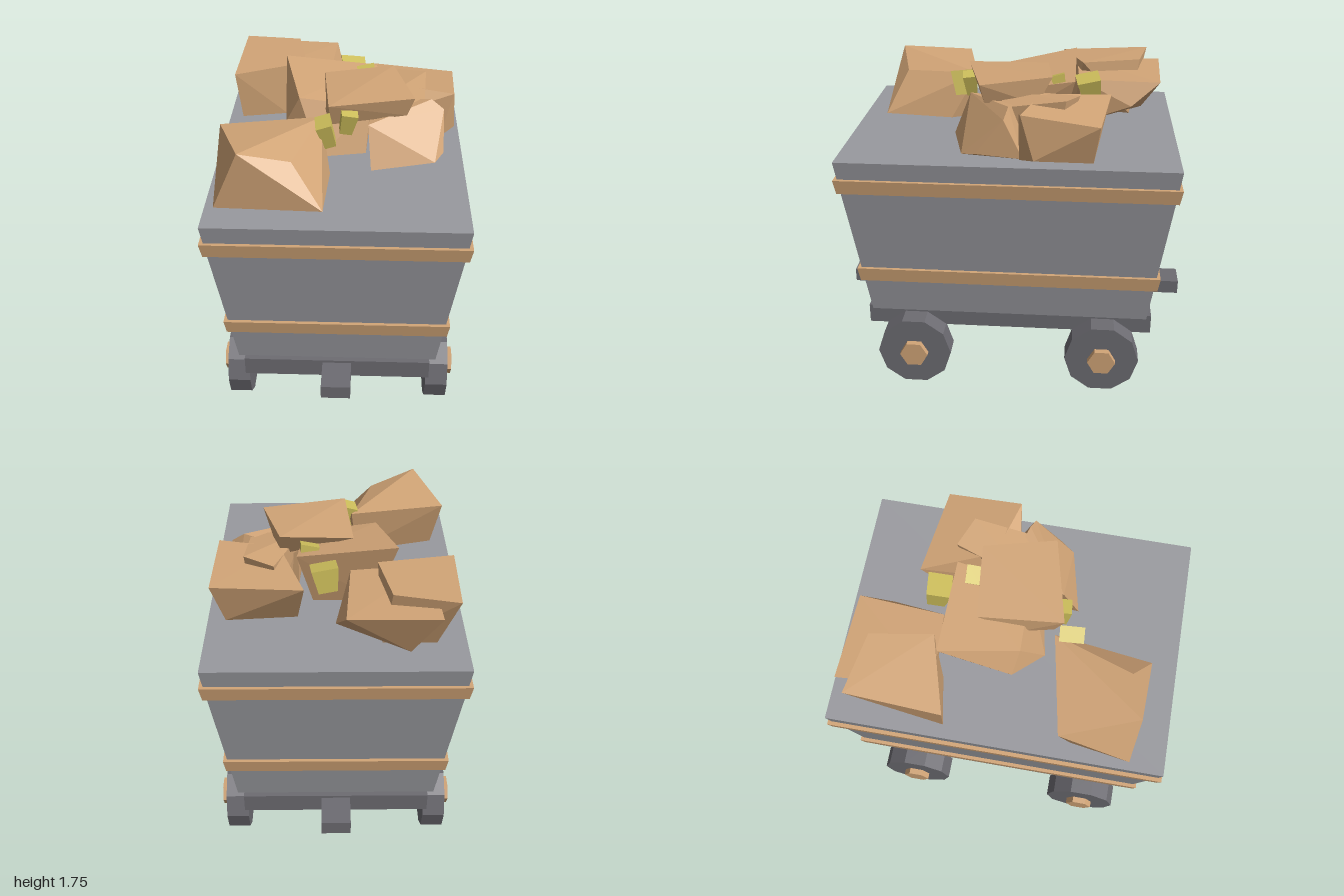
import * as THREE from 'three';
import { ConvexGeometry } from 'three/addons/geometries/ConvexGeometry.js';

const paint = (name, color) => {
  const m = new THREE.MeshStandardMaterial({ color, flatShading: true });
  m.name = name;
  return m;
};

export function createModel() {
  const cart = new THREE.Group();
  cart.name = 'mineCart';
  const steel = paint('steelGrey', 0x999a9f);
  const iron = paint('darkIron', 0x6d6c72);
  const sand = paint('sandBrown', 0xd2a577);
  const gold = paint('gold', 0xcfc05c);

  const add = (name, geometry, material, x = 0, y = 0, z = 0, parent = cart) => {
    const mesh = new THREE.Mesh(geometry, material);
    mesh.name = name;
    mesh.position.set(x, y, z);
    parent.add(mesh);
    return mesh;
  };

  // Box whose half sizes run from (x0, z0) at y0 to (x1, z1) at y1
  const taper = (y0, x0, z0, y1, x1, z1) => {
    const g = new THREE.BoxGeometry(2, 1, 2).toNonIndexed();
    const p = g.attributes.position;
    for (let i = 0; i < p.count; i++) {
      const top = p.getY(i) > 0;
      p.setXYZ(i, p.getX(i) * (top ? x1 : x0), top ? y1 : y0, p.getZ(i) * (top ? z1 : z0));
    }
    g.computeVertexNormals();
    return g;
  };

  // Tub and its two bands
  add('tub', taper(0.43, 0.55, 0.78, 1.38, 0.675, 0.905), steel);
  add('lowerBand', taper(0.64, 0.597, 0.825, 0.72, 0.608, 0.838), sand);
  add('upperBand', taper(1.2, 0.67, 0.898, 1.28, 0.683, 0.911), sand);

  // Chassis with a coupler at each end
  add('chassis', new THREE.BoxGeometry(1.03, 0.11, 1.62), iron, 0, 0.375, 0);
  for (const s of [1, -1]) {
    add(s > 0 ? 'frontCoupler' : 'backCoupler', new THREE.BoxGeometry(0.16, 0.08, 0.2), iron, 0, 0.375, s * 0.9);
  }

  // Axles, ten-sided wheels and six-sided hubs
  const rod = (radius, length, sides, turn) =>
    new THREE.CylinderGeometry(radius, radius, length, sides).rotateY(turn).rotateZ(Math.PI / 2);
  for (const z of [0.535, -0.535]) {
    const end = z > 0 ? 'front' : 'back';
    add(end + 'Axle', rod(0.038, 1.1, 6, 0), steel, 0, 0.204, z);
    for (const s of [1, -1]) {
      const wheel = new THREE.Group();
      wheel.name = end + (s > 0 ? 'Left' : 'Right') + 'Wheel';
      wheel.position.set(s * 0.567, 0.2, z);
      cart.add(wheel);
      add('tyre', rod(0.209, 0.125, 10, 0), iron, 0, 0, 0, wheel);
      add('hub', rod(0.079, 0.05, 6, 0), sand, s * 0.073, 0, 0, wheel);
    }
  }

  // Load: convex lumps given by their corner points
  const load = new THREE.Group();
  load.name = 'load';
  cart.add(load);
  const lump = (name, material, ...corners) =>
    add(name, new ConvexGeometry(corners.map((c) => new THREE.Vector3(...c))), material, 0, 0, 0, load);

  lump('frontRock', sand,
    [-0.49, 1.7, 0.73], [-0.23, 1.62, 0.66], [-0.1, 1.65, 0.23], [-0.63, 1.65, 0.33],
    [-0.63, 1.38, 0.72], [-0.07, 1.4, 0.77], [-0.05, 1.39, 0.38], [-0.13, 1.38, 0.28], [-0.58, 1.38, 0.4]);
  lump('backRock', sand,
    [-0.52, 1.64, -0.84], [-0.05, 1.63, -0.82], [-0.08, 1.63, -0.36], [-0.49, 1.65, -0.34],
    [-0.38, 1.38, -0.74], [0, 1.5, -0.66], [-0.06, 1.38, -0.38], [-0.4, 1.38, -0.4]);
  lump('backRightRock', sand,
    [-0.61, 1.69, -0.77], [-0.28, 1.7, -0.71], [-0.22, 1.69, -0.38], [-0.63, 1.66, -0.26],
    [-0.52, 1.38, -0.66], [-0.24, 1.38, -0.66], [-0.34, 1.38, -0.33], [-0.6, 1.38, -0.28]);
  lump('centreRock', sand,
    [-0.33, 1.75, -0.34], [0.2, 1.7, -0.34], [0.16, 1.63, 0.06], [-0.23, 1.68, 0.07],
    [-0.31, 1.52, 0.04], [-0.22, 1.38, -0.26], [0.12, 1.38, -0.26], [0.14, 1.38, 0.14], [-0.12, 1.38, 0.19]);
  lump('topRock', sand,
    [-0.1, 1.72, -0.18], [0.29, 1.75, -0.22], [0.4, 1.73, 0.16], [-0.06, 1.73, 0.27],
    [-0.09, 1.6, 0.05], [0.3, 1.6, -0.14], [0.36, 1.62, 0.14], [-0.05, 1.6, 0.22]);
  lump('leftRock', sand,
    [0.15, 1.61, 0.24], [0.5, 1.65, 0.0], [0.57, 1.6, 0.02], [0.2, 1.6, -0.1],
    [0.17, 1.38, 0.33], [0.52, 1.39, 0.25], [0.57, 1.41, 0.17], [0.55, 1.38, -0.08], [0.2, 1.38, -0.08]);
  lump('backLeftRock', sand,
    [0.16, 1.62, -0.54], [0.65, 1.6, -0.48], [0.63, 1.65, -0.07], [0.47, 1.6, -0.05], [0.3, 1.66, -0.16],
    [0.2, 1.38, -0.42], [0.58, 1.38, -0.45], [0.65, 1.41, -0.14], [0.56, 1.38, -0.06], [0.3, 1.38, -0.06]);
  lump('innerRock', sand,
    [0.32, 1.66, -0.37], [0.48, 1.68, -0.3], [0.46, 1.63, 0.04], [0.17, 1.64, 0.06],
    [0.3, 1.45, -0.3], [0.46, 1.45, -0.26], [0.44, 1.42, 0.03], [0.2, 1.42, 0.04]);

  // Gold nuggets, each a skewed block about its centre
  const nugget = (x, y, z, w, h, d, tiltX, tiltZ) => {
    const m = add('nugget', taper(-h / 2, w * 0.36, d * 0.36, h / 2, w * 0.5, d * 0.5), gold, x, y, z);
    m.rotation.set(tiltX, 0.1, tiltZ);
    load.add(m);
  };
  nugget(-0.07, 1.6, 0.31, 0.085, 0.14, 0.13, 0.08, 0.28);
  nugget(0.04, 1.63, 0.25, 0.09, 0.12, 0.08, 0.1, -0.2);
  nugget(0.05, 1.62, -0.42, 0.14, 0.13, 0.13, 0.2, -0.15);
  nugget(0.14, 1.68, -0.25, 0.1, 0.08, 0.08, 0.25, 0.2);

  return cart;
}
